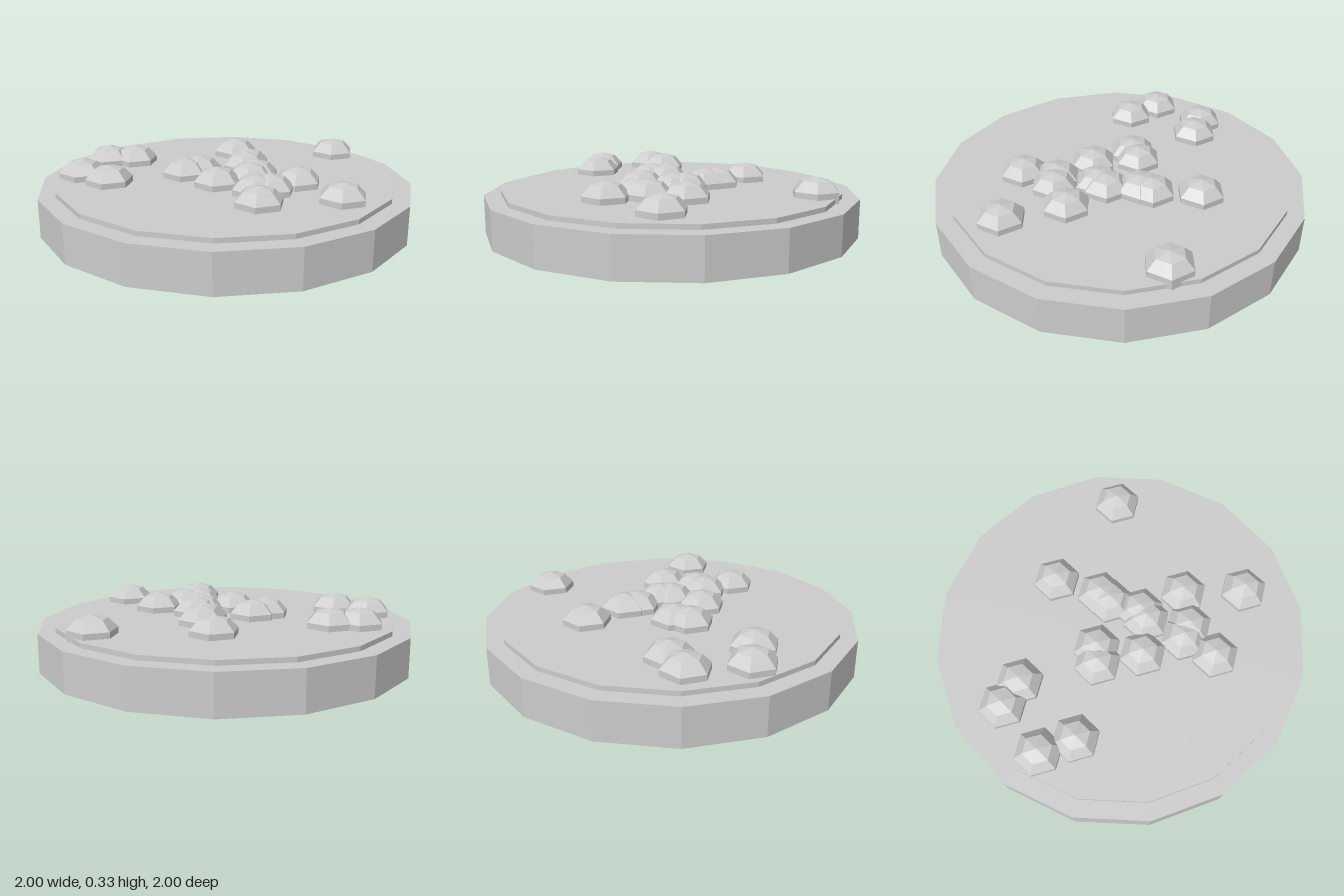
import * as THREE from 'three';

const stone = new THREE.MeshStandardMaterial({ color: 0xcccccc, flatShading: true });
stone.name = 'pale grey';

// x, z of each topping
const toppings = [
  [-0.543, -0.495], [-0.4, -0.447], [-0.733, -0.249], [-0.62, -0.083],
  [0.209, -0.417], [0.757, -0.211], [0.187, -0.163], [0.155, -0.1],
  [-0.203, -0.078], [-0.118, -0.104], [-0.096, 0.142], [0.144, 0.072],
  [0.1, 0.115], [0.302, 0.275], [0.043, 0.334], [0.118, 0.345],
  [-0.011, 0.516], [0.396, 0.594],
];

// 16-sided disc between two heights
function disc(name, radius, y0, y1) {
  const mesh = new THREE.Mesh(new THREE.CylinderGeometry(radius, radius, y1 - y0, 16), stone);
  mesh.name = name;
  mesh.position.y = (y0 + y1) / 2;
  return mesh;
}

export function createModel() {
  const model = new THREE.Group();
  model.name = 'toppedDisc';

  // thick base and the thin layer on top of it
  model.add(disc('base', 1, 0, 0.205));
  model.add(disc('topLayer', 0.91, 0.19, 0.23));

  // squashed six-sided domes, half sunk into the layer
  const dome = new THREE.SphereGeometry(0.133, 6, 5);
  dome.scale(1, 0.75, 1);
  const group = new THREE.Group();
  group.name = 'toppings';
  toppings.forEach(([x, z], i) => {
    const mesh = new THREE.Mesh(dome, stone);
    mesh.name = `topping${i + 1}`;
    mesh.position.set(x, 0.23, z);
    group.add(mesh);
  });
  model.add(group);
  return model;
}
